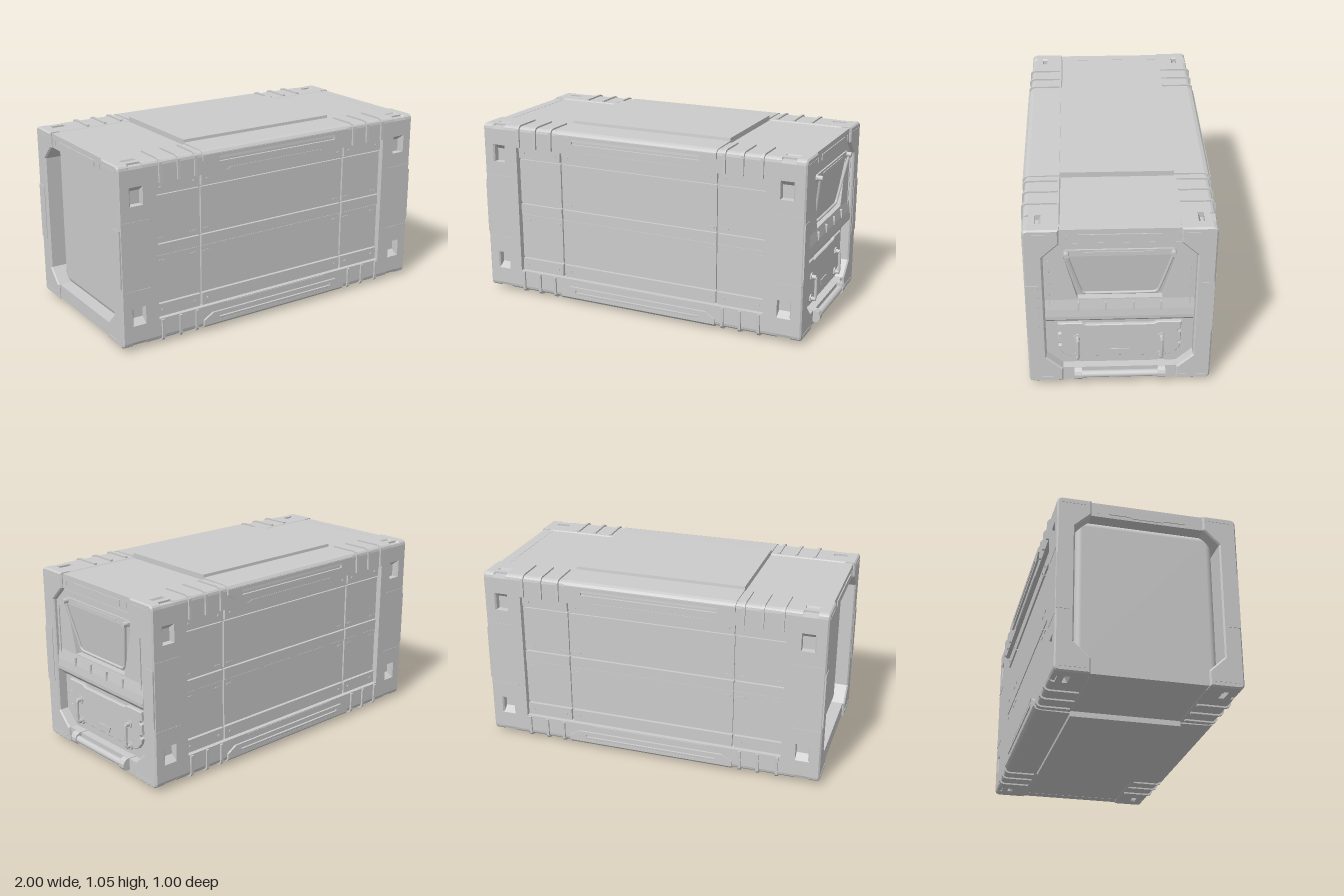
import * as THREE from 'three';
import { RoundedBoxGeometry } from 'three/addons/geometries/RoundedBoxGeometry.js';

const MID = 0.53; // height of the horizontal symmetry plane
const mat = new THREE.MeshStandardMaterial({ color: 0xcccccc });

const vectors = pts => pts.map(([a, b]) => new THREE.Vector2(a, b));
const poly = pts => new THREE.Shape(vectors(pts));
const flipY = pts => pts.map(([a, b]) => [a, 2 * MID - b]).reverse();
const flipX = pts => pts.map(([a, b]) => [-a, b]).reverse();
const mirrored = half => [...half, ...flipX(half)];

// Outline with one hole; hole corners run counter-clockwise
function polyWithHole(pts, hole) {
  const shape = poly(pts);
  const path = vectors(hole);
  if (THREE.ShapeUtils.isClockWise(path)) path.reverse();
  shape.holes.push(new THREE.Path(path));
  return shape;
}

function add(parent, name, geo, x = 0, y = 0, z = 0) {
  const m = new THREE.Mesh(geo, mat);
  m.name = name;
  m.position.set(x, y, z);
  parent.add(m);
  return m;
}
const box = (p, name, w, h, d, x, y, z) => add(p, name, new THREE.BoxGeometry(w, h, d), x, y, z);

// Extrude an outline along z, optionally with a chamfered rim
function alongZ(shape, z0, z1, bevel = 0) {
  const g = new THREE.ExtrudeGeometry(shape, {
    depth: z1 - z0 - 2 * bevel, bevelEnabled: bevel > 0, bevelSize: bevel,
    bevelThickness: bevel, bevelOffset: -bevel, bevelSegments: 1,
  });
  return g.translate(0, 0, z0 + bevel);
}
// Extrude an outline given as (-z, y) along x
const alongX = (shape, x0, x1, bevel) => alongZ(shape, x0, x1, bevel).rotateY(Math.PI / 2);

// Small slot outline with cut corners
function slot(x0, x1, y0, y1) {
  const r = Math.min(x1 - x0, y1 - y0) * 0.3;
  return poly([[x0 + r, y0], [x1 - r, y0], [x1, y0 + r], [x1, y1 - r], [x1 - r, y1], [x0 + r, y1], [x0, y1 - r], [x0, y0 + r]]);
}

// Quarter cross-sections of the hull, from the top middle round to the side
const CORNER = [[0.466, 1.032], [0.48, 1.027], [0.487, 1.019], [0.49, 1.005]];
const PLAIN = [[0.3, 1.026], [0.306, 1.032], ...CORNER];
const NOTCHED = [[0.3, 1.026], [0.306, 1.032], [0.395, 1.032], [0.408, 1.002], [0.425, 1.002], [0.425, 1.032], [0.46, 1.032],
  [0.46, 1.022], [0.485, 1.02], [0.49, 1.005],
  [0.49, 0.912], [0.45, 0.882], [0.45, 0.81], [0.49, 0.81]];
const section = quarter => mirrored([...quarter, ...flipY(quarter)]);
const OPENING = [[0.306, 0.945], [0.393, 0.862], [0.393, 0.198], [0.306, 0.115]];
const OCTAGON = mirrored(OPENING);

function buildHull(p) {
  box(p, 'core', 1.54, 0.9, 0.89, 0, MID, 0);
  const railHalf = [...PLAIN, [0.49, 0.908]];
  add(p, 'topDeck', alongX(poly(mirrored(railHalf)), -0.766, 0.766));
  add(p, 'bottomDeck', alongX(poly(flipY(mirrored(railHalf))), -0.766, 0.766));

  // C-shaped corner frame, one on each edge of both ends
  const frame = [[0.306, 1.032], ...CORNER, ...flipY(CORNER), [0.306, 0.028], ...[...OPENING].reverse()];
  const strip = [[-0.21, 0.998], [0.21, 0.998], [0.21, 0.965], [0.1, 0.965], [0.08, 0.957], [-0.08, 0.957], [-0.1, 0.965], [-0.21, 0.965]];

  for (const s of [-1, 1]) {
    const span = (name, shape, a, b, bevel) => add(p, name, alongX(shape, Math.min(s * a, s * b), Math.max(s * a, s * b), bevel));
    span('endBlock', poly(section(PLAIN)), 0.765, 0.845);
    span('pocketBlock', polyWithHole(section(NOTCHED), OCTAGON), 0.845, 0.925);
    for (const outline of [frame, flipX(frame)]) span('cornerFrame', poly(outline), 0.917, 0.985, 0.008);
    for (const y of [0.986, 0.074]) box(p, 'endBar', 0.06, 0.082, 0.62, s * 0.942, y, 0);
    span('endStrip', poly(strip), 0.965, 0.977);

    for (const z of [-1, 1]) {
      box(p, 'sidePlate', 0.012, 0.32, 0.066, s * 0.982, MID, z * 0.454);
      for (const y of [-1, 1]) box(p, 'cornerSeam', 0.006, 0.006, 0.14, s * 0.984, MID + y * 0.472, z * 0.395);
      box(p, 'stripMark', 0.006, 0.03, 0.005, s * 0.972, 0.98, z * 0.268);
    }
  }
  // Plain recessed panel at the end opposite the controls
  add(p, 'plainEndPanel', new RoundedBoxGeometry(0.2, 0.85, 0.76, 4, 0.04), -0.81, MID, 0);
}

// Central band wrapped over top and bottom
function buildSaddle(p) {
  const half = [[0.304, 1.056], [0.306, 1.04], [0.468, 1.037], [0.488, 1.031], [0.499, 1.018], [0.502, 0.985], [0.48, 0.985]];
  const pts = mirrored(half);
  add(p, 'topBand', alongX(poly(pts), -0.488, 0.488));
  add(p, 'bottomBand', alongX(poly(flipY(pts)), -0.488, 0.488));
}

// Ribs that run over the four long edges
function buildRibs(p) {
  const pts = [[0.315, 1.02], [0.315, 1.041], [0.47, 1.041], [0.488, 1.035], [0.499, 1.021], [0.502, 0.912], [0.48, 0.912], [0.47, 1.02]];
  for (const x of [-0.745, -0.635, -0.532, 0.532, 0.635, 0.745])
    for (const outline of [pts, flipX(pts), flipY(pts), flipX(flipY(pts))])
      add(p, 'edgeRib', alongX(poly(outline), x - 0.008, x + 0.008));
}

// One long side, facing +z
function buildSide(name) {
  const g = new THREE.Group();
  g.name = name;
  const cols = [[-0.765, -0.491], [-0.479, 0.479], [0.491, 0.765]];
  const rows = [[0.15, 0.224, 0.464], [0.232, 0.498, 0.457], [0.501, 0.562, 0.461], [0.57, 0.832, 0.457], [0.842, 0.91, 0.464]];
  for (const [x0, x1] of cols) {
    for (const [y0, y1, z] of rows)
      box(g, 'sidePanel', x1 - x0, y1 - y0, z - 0.44, (x0 + x1) / 2, (y0 + y1) / 2, (z + 0.44) / 2);
    for (const x of [x0 + 0.035, x1 - 0.035]) {
      for (const y of [0.467, 0.593]) add(g, 'panelSlot', alongZ(slot(x - 0.021, x + 0.021, y - 0.006, y + 0.006), 0.45, 0.46));
      for (const y of [0.188, 0.875])
        add(g, 'panelBolt', new THREE.CylinderGeometry(0.008, 0.008, 0.01, 10).rotateX(Math.PI / 2), x, y, 0.464);
    }
  }
  // Tapered lips of the central band with a long slot, top and bottom
  const lip = [[-0.488, 1.015], [-0.488, 0.985], [-0.43, 0.951], [0.43, 0.951], [0.488, 0.985], [0.488, 1.015]];
  const tab = [[-0.34, 0.912], [-0.31, 0.924], [0.31, 0.924], [0.34, 0.912]];
  const gap = [[-0.39, 0.969], [0.39, 0.969], [0.39, 0.998], [-0.39, 0.998]];
  for (const f of [a => a, flipY]) {
    add(g, 'bandLip', alongZ(polyWithHole(f(lip), f(gap)), 0.48, 0.502));
    add(g, 'railTab', alongZ(poly(f(tab)), 0.48, 0.493));
  }
  for (const x of [-1, 1])
    for (const y of [0.345, 0.725]) box(g, 'blockSeam', 0.165, 0.006, 0.006, x * 0.895, y, 0.489);
  return g;
}

// Detailed control end, facing +x
function buildControlEnd() {
  const g = new THREE.Group();
  g.name = 'controlEnd';
  add(g, 'backing', alongX(poly(OCTAGON), 0.84, 0.928));

  // Upper plate with a tapered opening and a sloping floor behind it
  const upper = mirrored([[0.304, 0.94], [0.388, 0.86], [0.388, 0.575]]);
  const opening = [[-0.288, 0.862], [0.288, 0.862], [0.22, 0.585], [-0.22, 0.585]];
  add(g, 'upperPlate', alongX(polyWithHole(upper, opening), 0.92, 0.966));
  add(g, 'openingFloor', alongZ(poly([[0.92, 0.58], [0.93, 0.58], [0.964, 0.865], [0.92, 0.865]]), -0.3, 0.3));
  add(g, 'overhang', alongZ(poly([[0.92, 0.42], [0.945, 0.422], [0.979, 0.456], [0.98, 0.475], [0.976, 0.52], [0.966, 0.58], [0.92, 0.58]]), -0.388, 0.388));
  for (const z of [-0.215, -0.072, 0.072, 0.215]) add(g, 'ventMark', alongX(slot(z - 0.005, z + 0.005, 0.515, 0.568), 0.96, 0.981));

  // Folding pull handle hung below a hinge bar
  add(g, 'hingeBar', alongX(slot(-0.285, 0.285, 0.865, 0.903), 0.96, 0.975));
  add(g, 'hingeInset', alongX(poly([[-0.17, 0.878], [0.17, 0.878], [0.182, 0.885], [0.17, 0.892], [-0.17, 0.892], [-0.182, 0.885]]), 0.97, 0.979));
  const bailHalf = [[0.988, 0.885, 0.27], [0.968, 0.76, 0.238], [0.951, 0.65, 0.208], [0.947, 0.622, 0.198], [0.946, 0.609, 0.178], [0.946, 0.608, 0.15]]
    .map(a => new THREE.Vector3(...a));
  const bail = [...bailHalf, ...bailHalf.map(v => new THREE.Vector3(v.x, v.y, -v.z)).reverse()];
  add(g, 'pullHandle', new THREE.TubeGeometry(new THREE.CatmullRomCurve3(bail, false, 'centripetal'), 90, 0.008, 8));

  // Lower hatch
  const hatchHalf = [[0.18, 0.39], [0.2, 0.402], [0.328, 0.402], [0.328, 0.352], [0.313, 0.346], [0.313, 0.336], [0.328, 0.33],
    [0.328, 0.27], [0.313, 0.264], [0.313, 0.254], [0.328, 0.248], [0.32, 0.215], [0.295, 0.185], [0.26, 0.17]];
  add(g, 'lowerHatch', alongX(poly(mirrored(hatchHalf)), 0.92, 0.947, 0.004));
  add(g, 'hatchTab', alongX(poly([[-0.052, 0.222], [0.052, 0.222], [0.036, 0.187], [-0.036, 0.187]]), 0.94, 0.952));

  for (const s of [-1, 1]) {
    const z = s * 0.225;
    add(g, 'handlePivot', new THREE.CylinderGeometry(0.014, 0.014, 0.045, 16).rotateZ(Math.PI / 2), 0.98, 0.884, s * 0.27);
    add(g, 'sideMark', alongX(slot(s * 0.365 - 0.003, s * 0.365 + 0.003, 0.54, 0.835), 0.96, 0.972));
    // Grab rod on the hatch
    const pts = [[0.944, 0.312], [0.972, 0.305], [0.975, 0.28], [0.975, 0.2], [0.972, 0.178], [0.944, 0.17]].map(([x, y]) => new THREE.Vector3(x, y, z));
    add(g, 'grabRod', new THREE.TubeGeometry(new THREE.CatmullRomCurve3(pts), 32, 0.009, 8));
    for (const y of [0.305, 0.178]) {
      add(g, 'rodFoot', alongX(slot(z - 0.02, z + 0.02, y - 0.022, y + 0.022), 0.94, 0.954));
      add(g, 'rodBolt', new THREE.CylinderGeometry(0.012, 0.012, 0.03, 12).rotateZ(Math.PI / 2), 0.962, y, z);
    }
    // Bracket of the lower carry bar
    const bracket = [[0.925, 0.118], [0.985, 0.118], [1.003, 0.108], [1.0125, 0.09], [1.0125, 0.07], [1.003, 0.055], [0.985, 0.05], [0.925, 0.05]];
    add(g, 'barBracket', alongZ(poly(bracket), z - 0.021, z + 0.021));
  }
  add(g, 'carryBar', new THREE.CylinderGeometry(0.02, 0.02, 0.45, 20).rotateX(Math.PI / 2), 0.988, 0.08, 0);
  return g;
}

export function createModel() {
  const root = new THREE.Group();
  root.name = 'cargoContainer';
  const hull = new THREE.Group();
  hull.name = 'hull';
  hull.position.x = -0.0125;
  root.add(hull);
  buildHull(hull);
  buildSaddle(hull);
  buildRibs(hull);
  const back = buildSide('backSide');
  back.rotation.y = Math.PI;
  hull.add(buildSide('frontSide'), back, buildControlEnd());
  return root;
}
